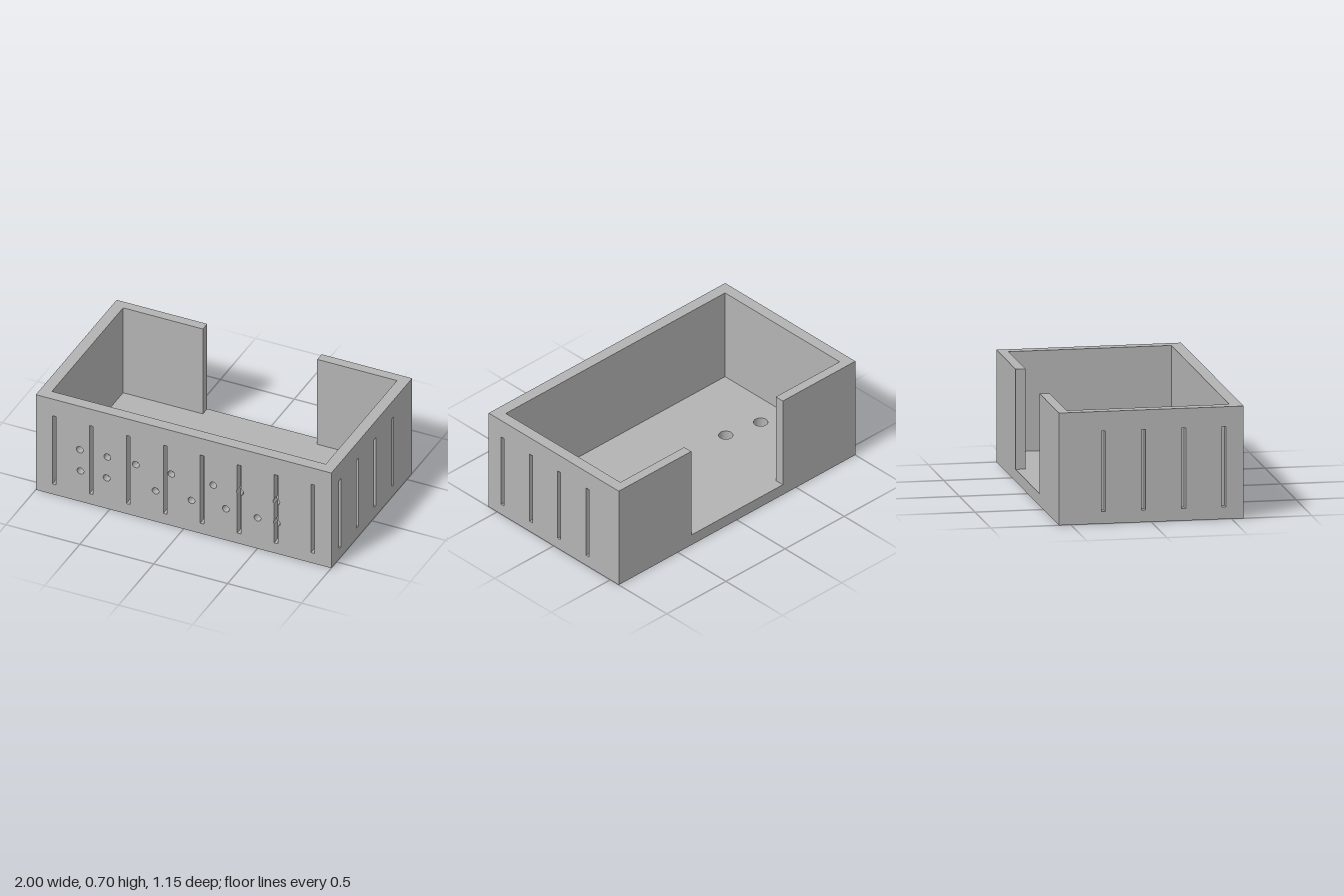
import * as THREE from 'three';

const X = 1, Z = 0.575, H = 0.7;          // half width, half depth, height
const FLOOR = 0.075, CUT = 0.05;          // floor thickness, groove depth
const IN_X = 0.927, IN_FRONT = 0.5, IN_BACK = -0.513;
const SLOT_W = 0.025, SLOT_LOW = 0.075, SLOT_TOP = 0.577;
const HOLE_R = 0.023;

const rectangle = (x0, x1, y0, y1) => new THREE.Shape([
  new THREE.Vector2(x0, y0), new THREE.Vector2(x1, y0),
  new THREE.Vector2(x1, y1), new THREE.Vector2(x0, y1)]);

const circle = (x, y, r) => new THREE.Path().absarc(x, y, r, 0, Math.PI * 2, true);

// Upright slot outline, bulging around any round holes that cross it (sorted by height)
function slot(cx, holes = []) {
  const path = new THREE.Path();
  const arc = ([hx, hy], side, up) => {
    const dx = side - hx, dy = Math.sqrt(HOLE_R ** 2 - dx ** 2) * (up ? 1 : -1);
    path.lineTo(side, hy - dy);
    path.absarc(hx, hy, HOLE_R, Math.atan2(-dy, dx), Math.atan2(dy, dx), true);
  };
  const left = cx - SLOT_W / 2, right = cx + SLOT_W / 2;
  path.moveTo(left, SLOT_LOW);
  holes.forEach(h => arc(h, left, true));
  path.lineTo(left, SLOT_TOP);
  path.lineTo(right, SLOT_TOP);
  [...holes].reverse().forEach(h => arc(h, right, false));
  path.lineTo(right, SLOT_LOW);
  path.closePath();
  return path;
}

const extrude = (shape, depth) =>
  new THREE.ExtrudeGeometry(shape, { depth, bevelEnabled: false, curveSegments: 16 });

export function createModel() {
  const group = new THREE.Group();
  const grey = new THREE.MeshStandardMaterial({ color: 0xb3b3b3 });
  grey.name = 'grey';

  const add = (name, geometry) => {
    const mesh = new THREE.Mesh(geometry, grey);
    mesh.name = name;
    group.add(mesh);
    return mesh;
  };
  const block = (name, x0, x1, y0, y1, z0, z1) =>
    add(name, new THREE.BoxGeometry(x1 - x0, y1 - y0, z1 - z0))
      .position.set((x0 + x1) / 2, (y0 + y1) / 2, (z0 + z1) / 2);

  // Floor with five drain holes
  const floor = rectangle(-X + CUT, X - CUT, -Z + CUT, Z);
  for (const [x, z] of [[-0.75, 0], [-0.5, 0.047], [0, 0.047], [0.5, 0.047], [0.75, 0]])
    floor.holes.push(circle(x, -z, 0.044));
  add('floor', extrude(floor, FLOOR).rotateX(-Math.PI / 2));

  // Front face with eight slots and scattered round holes
  const holes = [
    [-0.698, 0.225], [-0.521, 0.225], [-0.19, 0.225], [0.053, 0.225],
    [0.286, 0.23], [0.5, 0.225], [0.631, 0.225],
    [-0.703, 0.38], [-0.516, 0.38], [-0.324, 0.38], [-0.083, 0.38],
    [0.2, 0.38], [0.382, 0.38], [0.628, 0.38]];
  const front = rectangle(-X + CUT, X - CUT, 0, H);
  const merged = new Set();
  for (let i = 0; i < 8; i++) {
    const x = -0.875 + i * 0.25;
    const crossing = holes.filter(h => Math.abs(h[0] - x) < HOLE_R);
    crossing.forEach(h => merged.add(h));
    front.holes.push(slot(x, crossing));
  }
  holes.filter(h => !merged.has(h)).forEach(([x, y]) => front.holes.push(circle(x, y, HOLE_R)));
  add('frontFace', extrude(front, CUT).translate(0, 0, Z - CUT));
  block('frontInnerWall', -X + CUT, X - CUT, FLOOR, H, IN_FRONT, Z - CUT);

  // Side walls with four slots each, and the two back walls beside the opening
  for (const s of [1, -1]) {
    const label = s > 0 ? 'left' : 'right';
    const side = rectangle(-Z, Z, 0, H);
    for (let i = 0; i < 4; i++) side.holes.push(slot(-s * (0.4525 - i * 0.25)));
    add(label + 'SideFace', extrude(side, CUT)
      .rotateY(s * Math.PI / 2).translate(s * (X - CUT), 0, 0));
    const span = (a, b) => (s > 0 ? [a, b] : [-b, -a]);
    block(label + 'SideInnerWall', ...span(IN_X, X - CUT), FLOOR, H, IN_BACK, IN_FRONT);
    block(label + 'BackWall', ...span(0.387, X - CUT), FLOOR, H, -Z, IN_BACK);
  }
  return group;
}
